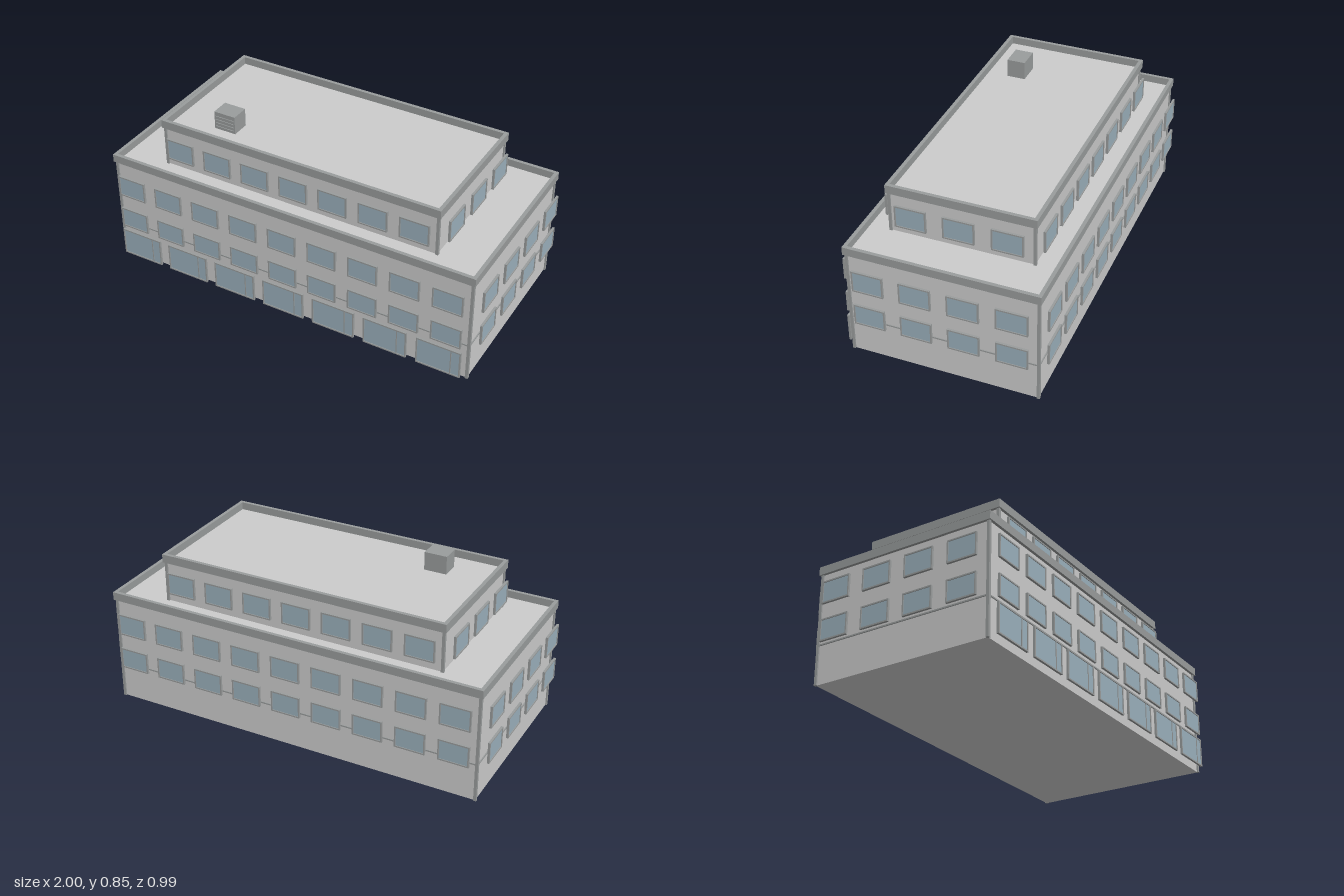
import * as THREE from 'three';

const wallMat = new THREE.MeshStandardMaterial({ color: 0xcccccc });
const trimMat = new THREE.MeshStandardMaterial({ color: 0x999c9c });
const glassMat = new THREE.MeshStandardMaterial({ color: 0x9bb0bc });

// Box given by its centre in x and z and its bottom and top in y
function box(parent, name, w, d, y0, y1, x, z, mat) {
  const mesh = new THREE.Mesh(new THREE.BoxGeometry(w, y1 - y0, d), mat);
  mesh.name = name;
  mesh.position.set(x, (y0 + y1) / 2, z);
  parent.add(mesh);
  return mesh;
}

// Rectangular ring standing in the xy plane, or lying flat once rotated
function ringGeometry(w, h, t, depth) {
  const s = new THREE.Shape();
  s.moveTo(-w / 2, -h / 2).lineTo(w / 2, -h / 2).lineTo(w / 2, h / 2).lineTo(-w / 2, h / 2).closePath();
  const a = w / 2 - t, b = h / 2 - t;
  const hole = new THREE.Path();
  hole.moveTo(-a, -b).lineTo(-a, b).lineTo(a, b).lineTo(a, -b).closePath();
  s.holes.push(hole);
  return new THREE.ExtrudeGeometry(s, { depth, bevelEnabled: false });
}

function flatRing(parent, name, hx, hz, t, y0, y1) {
  const geo = ringGeometry(hx * 2, hz * 2, t, y1 - y0).rotateX(-Math.PI / 2);
  const mesh = new THREE.Mesh(geo, trimMat);
  mesh.name = name;
  mesh.position.y = y0;
  parent.add(mesh);
}

// Framed pane, facing +z, its outer face at z = 0
function makeWindow(w, h, mullionAt) {
  const g = new THREE.Group();
  g.name = 'window';
  const frame = new THREE.Mesh(ringGeometry(w, h, 0.007, 0.011), trimMat);
  frame.name = 'windowFrame';
  frame.position.z = -0.011;
  g.add(frame);
  box(g, 'windowPane', w - 0.012, 0.005, -h / 2 + 0.006, h / 2 - 0.006, 0, -0.006, glassMat);
  if (mullionAt !== undefined) {
    box(g, 'mullion', 0.005, 0.008, -h / 2 + 0.006, h / 2 - 0.006, w * (mullionAt - 0.5), -0.005, trimMat);
  }
  return g;
}

// Row of windows along one facade; angle turns it from the front
function windowRow(parent, name, { count, pitch, w, y0, y1, dist, angle, mullionAt }) {
  const row = new THREE.Group();
  row.name = name;
  for (let i = 0; i < count; i++) {
    const win = makeWindow(w, y1 - y0, mullionAt);
    win.position.set((i - (count - 1) / 2) * pitch, (y0 + y1) / 2, dist);
    row.add(win);
  }
  row.rotation.y = angle;
  parent.add(row);
}

// Storey block: walls, roof, corner posts and parapet
function makeBlock(name, hx, hz, y0, yRoof, yTop) {
  const g = new THREE.Group();
  g.name = name;
  box(g, 'walls', hx * 2, hz * 2, y0, yRoof, 0, 0, wallMat);
  for (const sx of [-1, 1]) {
    for (const sz of [-1, 1]) {
      box(g, 'cornerPost', 0.014, 0.014, y0, yRoof, sx * hx, sz * hz, trimMat);
    }
  }
  flatRing(g, 'parapet', hx + 0.014, hz + 0.014, 0.018, yRoof - 0.004, yTop);
  return g;
}

export function createModel() {
  const model = new THREE.Group();
  model.name = 'building';

  // Lower block with a thin string course above the ground floor
  const lower = makeBlock('lowerBlock', 0.958, 0.456, 0, 0.55, 0.587);
  flatRing(lower, 'stringCourse', 0.963, 0.461, 0.008, 0.19, 0.197);
  model.add(lower);

  // Set-back top storey
  const upper = makeBlock('upperBlock', 0.728, 0.348, 0.55, 0.76, 0.798);
  model.add(upper);

  // Window rows on all four facades
  for (const [side, turn] of [['front', 0], ['back', Math.PI]]) {
    for (const [y0, y1] of [[0.189, 0.298], [0.376, 0.487]]) {
      windowRow(lower, side + 'Windows', { count: 9, pitch: 0.214, w: 0.152, y0, y1, dist: 0.495, angle: turn });
    }
    windowRow(upper, side + 'UpperWindows',
      { count: 7, pitch: 0.209, w: 0.15, y0: 0.605, y1: 0.717, dist: 0.386, angle: turn });
  }
  for (const [side, turn] of [['left', Math.PI / 2], ['right', -Math.PI / 2]]) {
    for (const [y0, y1] of [[0.189, 0.298], [0.376, 0.487]]) {
      windowRow(lower, side + 'Windows', { count: 4, pitch: 0.229, w: 0.153, y0, y1, dist: 1, angle: turn });
    }
    windowRow(upper, side + 'UpperWindows',
      { count: 3, pitch: 0.232, w: 0.153, y0: 0.605, y1: 0.717, dist: 0.769, angle: turn });
  }

  // Ground floor shopfronts
  windowRow(lower, 'shopfronts',
    { count: 7, pitch: 0.275, w: 0.225, y0: 0.018, y1: 0.164, dist: 0.495, angle: 0, mullionAt: 0.78 });

  // Roof unit with louvres on its front
  const unit = new THREE.Group();
  unit.name = 'roofUnit';
  box(unit, 'unitCasing', 0.114, 0.092, 0.76, 0.852, -0.458, 0.196, trimMat);
  for (let i = 0; i < 4; i++) {
    const y = 0.772 + i * 0.018;
    box(unit, 'louvre', 0.1, 0.005, y, y + 0.005, -0.458, 0.2435, trimMat);
  }
  model.add(unit);

  return model;
}
